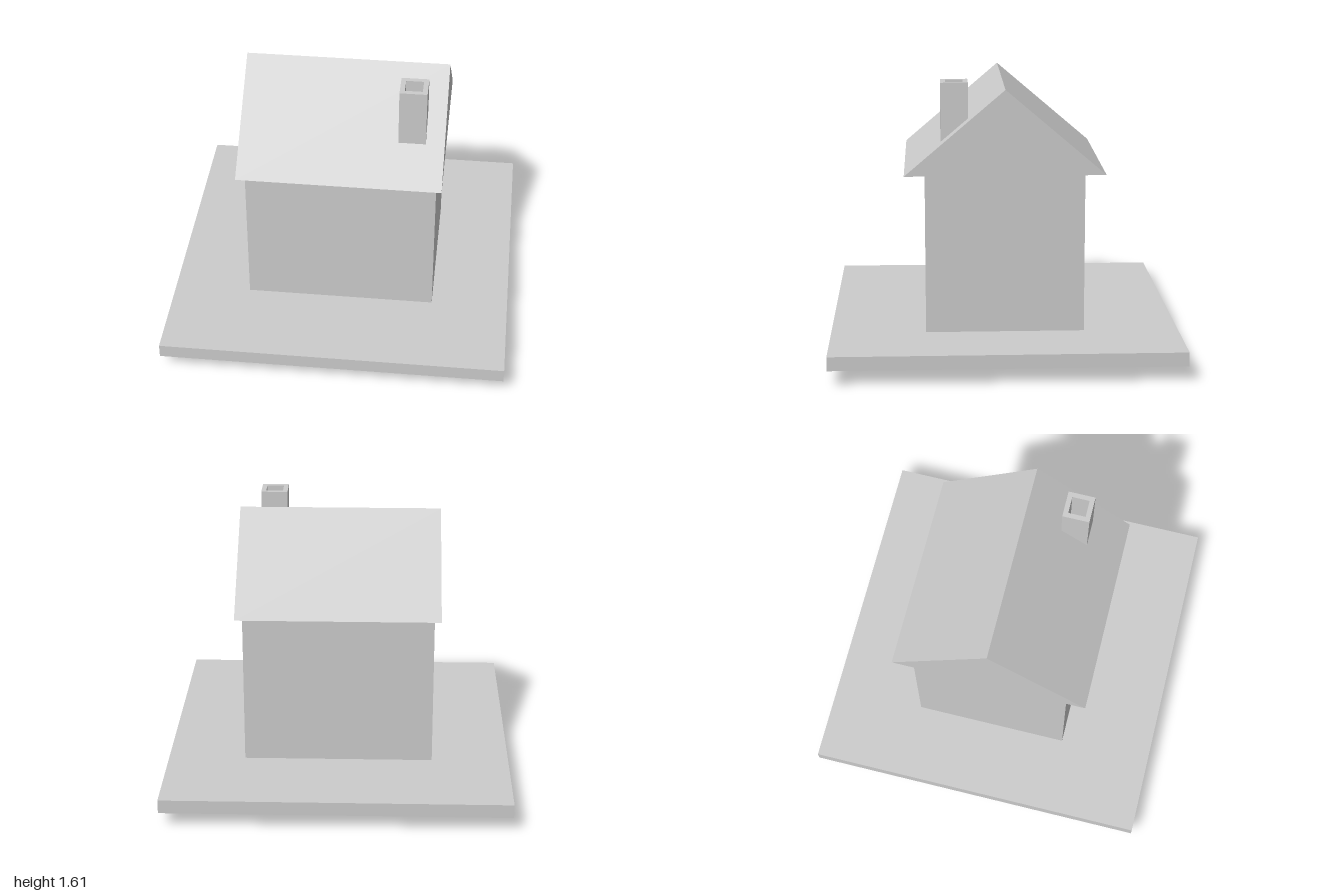
import * as THREE from 'three';

const material = new THREE.MeshStandardMaterial({ color: 0xcccccc, flatShading: true });

function addPart(group, name, geometry, x = 0, y = 0, z = 0) {
  const mesh = new THREE.Mesh(geometry, material);
  mesh.name = name;
  mesh.position.set(x, y, z);
  group.add(mesh);
  return mesh;
}

// Square outline centred on the origin
function squarePoints(size) {
  const h = size / 2;
  return [[-h, -h], [h, -h], [h, h], [-h, h]].map(([x, y]) => new THREE.Vector2(x, y));
}

export function createModel() {
  const group = new THREE.Group();
  group.name = 'house';

  // Ground slab, with the house body passing through it
  addPart(group, 'groundSlab', new THREE.BoxGeometry(2, 0.08, 2), 0, 0.13, 0);
  addPart(group, 'walls', new THREE.BoxGeometry(1.1, 1.09, 0.91), 0, 0.545, 0);

  // Gable roof: triangular prism with its ridge along x
  const roofWidth = 1.17;
  const gable = new THREE.Shape([
    new THREE.Vector2(-0.572, 0),
    new THREE.Vector2(0.572, 0),
    new THREE.Vector2(0, 0.488),
  ]);
  const roofGeometry = new THREE.ExtrudeGeometry(gable, { depth: roofWidth, bevelEnabled: false });
  roofGeometry.translate(0, 0, -roofWidth / 2).rotateY(Math.PI / 2);
  addPart(group, 'roof', roofGeometry, 0, 1.09, 0);

  // Square chimney with an open flue, rising from the front slope
  const chimneyX = 0.4, chimneyZ = 0.285, chimneyBottom = 1.25, chimneyTop = 1.605;
  const outline = new THREE.Shape(squarePoints(0.156));
  outline.holes.push(new THREE.Path(squarePoints(0.1).reverse()));
  const chimneyGeometry = new THREE.ExtrudeGeometry(outline, {
    depth: chimneyTop - chimneyBottom,
    bevelEnabled: false,
  });
  chimneyGeometry.rotateX(-Math.PI / 2);
  addPart(group, 'chimney', chimneyGeometry, chimneyX, chimneyBottom, chimneyZ);

  // Floor of the flue
  addPart(group, 'flueFloor', new THREE.BoxGeometry(0.1, 0.05, 0.1), chimneyX, 1.275, chimneyZ);

  return group;
}
